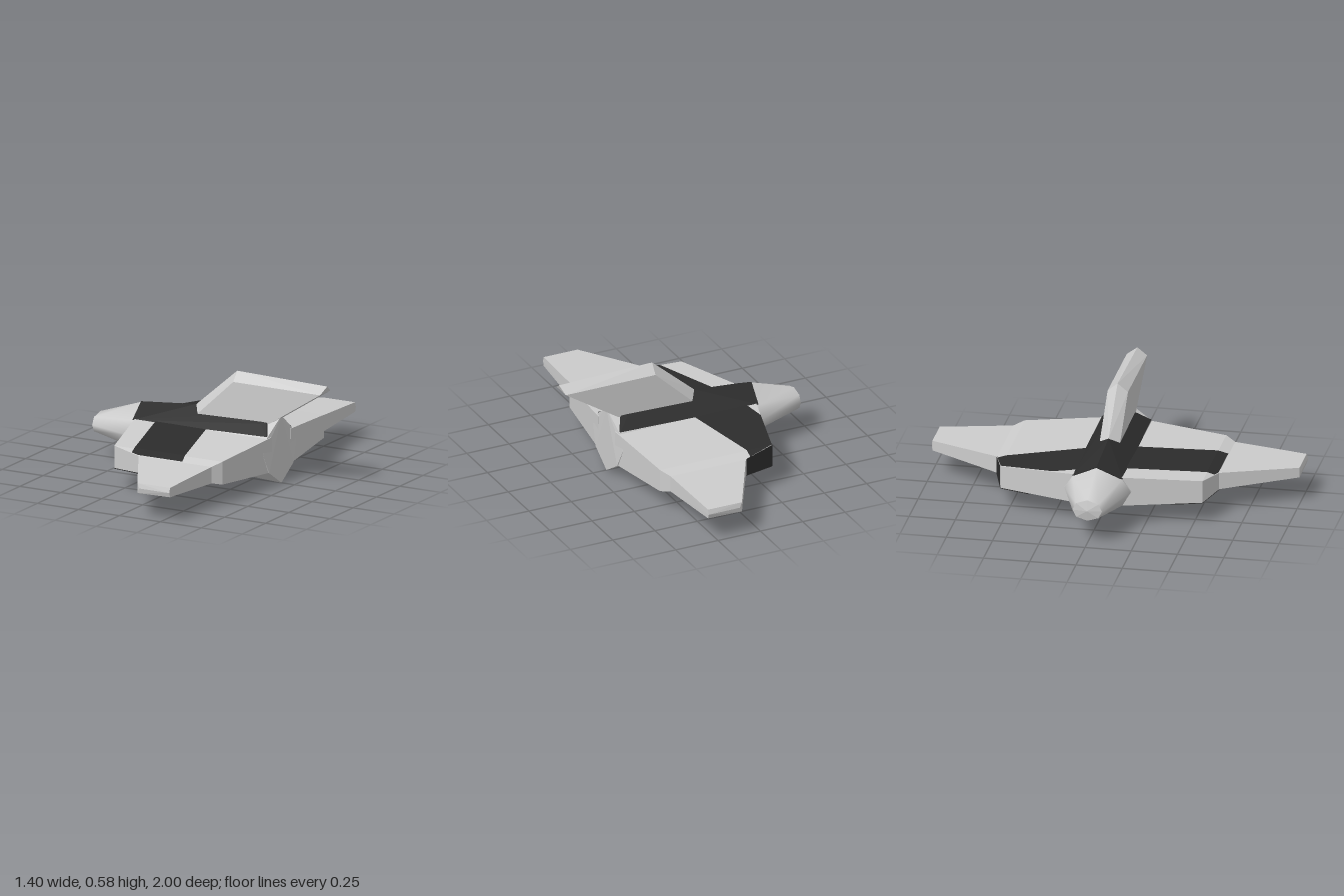
import * as THREE from 'three';
import { ConvexGeometry } from 'three/addons/geometries/ConvexGeometry.js';

const hullGrey = new THREE.MeshStandardMaterial({ color: 0xcccccc });
hullGrey.name = 'hullGrey';
const markingBlack = new THREE.MeshStandardMaterial({ color: 0x2c2c2c, side: THREE.DoubleSide });
markingBlack.name = 'markingBlack';

const v = ([x, y, z]) => new THREE.Vector3(x, y, z);

// Closed faceted solid around its corner points
function solid(name, points, material = hullGrey) {
  const mesh = new THREE.Mesh(new ConvexGeometry(points.map(v)), material);
  mesh.name = name;
  return mesh;
}

// Flat painted face from a convex outline
function plate(name, points) {
  const tris = [];
  for (let i = 1; i < points.length - 1; i++) tris.push(v(points[0]), v(points[i]), v(points[i + 1]));
  // corner order is chosen so that normals match the facing side
  const geo = new THREE.BufferGeometry().setFromPoints(tris);
  geo.computeVertexNormals();
  const mesh = new THREE.Mesh(geo, markingBlack);
  mesh.name = name;
  return mesh;
}

// Eight-sided ring from a half section [x, y, z], top to keel
const ring = (half) => [...half, ...half.slice(1, -1).reverse().map(([x, y, z]) => [x, y, -z])];

const frontRing = ring([[-0.435, 0.33, 0], [-0.41, 0.262, 0.135], [-0.4, 0.19, 0.18], [-0.41, 0.115, 0.135], [-0.42, 0.045, 0]]);
const rearRing = ring([[0.42, 0.37, 0], [0.408, 0.277, 0.13], [0.41, 0.19, 0.18], [0.42, 0.083, 0.13], [0.42, 0, 0]]);
const tipRing = ring([[-0.687, 0.245, 0], [-0.69, 0.226, 0.06], [-0.69, 0.187, 0.08], [-0.69, 0.148, 0.06], [-0.687, 0.128, 0]]);

// Smooth tapered nose with a faceted blunt tip
function nose() {
  const group = new THREE.Group();
  group.name = 'nose';
  const n = 8;
  const index = [];
  for (let i = 0; i < n; i++) {
    const j = (i + 1) % n;
    index.push(i, j, n + i, j, n + j, n + i);
  }
  const geo = new THREE.BufferGeometry().setFromPoints([...tipRing, ...frontRing].map(v));
  geo.setIndex(index);
  geo.computeVertexNormals();
  const cone = new THREE.Mesh(geo, hullGrey);
  cone.name = 'noseCone';

  const cap = [];
  for (let i = 0; i < n; i++) cap.push(v([-0.7, 0.187, 0]), v(tipRing[(i + 1) % n]), v(tipRing[i]));
  const capGeo = new THREE.BufferGeometry().setFromPoints(cap);
  capGeo.computeVertexNormals();
  const tip = new THREE.Mesh(capGeo, hullGrey);
  tip.name = 'noseTip';
  group.add(cone, tip);
  return group;
}

// Wing stations: distance out, leading x, trailing x, upper y, lower y front, lower y rear
const stations = [
  [0.1, -0.41, 0.418, 0.273, 0.11, 0.082],
  [0.545, -0.29, 0.37, 0.238, 0.115, 0.112],
  [0.6, -0.11, 0.335, 0.218, 0.125, 0.128],
  [0.992, 0.105, 0.305, 0.192, 0.137, 0.14],
];

function wing(name, side) {
  const group = new THREE.Group();
  group.name = name;
  const corners = ([z, xf, xr, top, bf, br]) => [[xf, top, z * side], [xr, top, z * side], [xf, bf, z * side], [xr, br, z * side]];
  ['innerPanel', 'shoulderBevel', 'outerPanel'].forEach((part, i) => {
    const points = [...corners(stations[i]), ...corners(stations[i + 1])];
    // slightly rounded end of the wing
    if (i === 2) points.push([0.12, 0.165, side * 0.998], [0.305, 0.165, side]);
    group.add(solid(part, points));
  });
  // Dark corner beneath the leading edge
  const under = [[-0.29, 0.111, side * 0.545], [-0.335, 0.108, side * 0.38], [-0.11, 0.12, side * 0.6]];
  group.add(plate('undersideMarking', side > 0 ? under : under.reverse()));
  return group;
}

// Height of painted faces just above the wing surface
function paintY(z) {
  const a = Math.abs(z);
  const i = a <= 0.545 ? 0 : 1;
  const [p, q] = [stations[i], stations[i + 1]];
  return THREE.MathUtils.mapLinear(a, p[0], q[0], p[3], q[3]) + 0.004;
}
const topPaint = (name, outline) => {
  const pts = outline.map(([x, z]) => new THREE.Vector2(x, z));
  const ordered = THREE.ShapeUtils.isClockWise(pts) ? outline : [...outline].reverse();
  return plate(name, ordered.map(([x, z]) => [x, paintY(z), z]));
};

// One slanted band running across both wings
function stripe() {
  const group = new THREE.Group();
  group.name = 'wingStripe';
  group.add(
    topPaint('leftStripe', [[-0.275, 0.13], [0.035, 0.13], [0.142, 0.545], [-0.168, 0.545]]),
    topPaint('leftStripeEnd', [[-0.168, 0.545], [0.142, 0.545], [0.155, 0.598], [-0.115, 0.598], [-0.16, 0.585]]),
    topPaint('rightStripe', [[-0.345, -0.13], [-0.035, -0.13], [-0.142, -0.545], [-0.29, -0.545], [-0.369, -0.25]]),
    topPaint('rightStripeEnd', [[-0.29, -0.545], [-0.142, -0.545], [-0.14, -0.593], [-0.112, -0.6]]),
    plate('rightStripeSide', [[-0.291, 0.242, -0.549], [-0.111, 0.222, -0.604], [-0.111, 0.125, -0.604], [-0.291, 0.115, -0.549]]),
  );
  return group;
}

// Swept fin with a ridged upper and leading edge
function fin() {
  const points = [[-0.1, 0.362, 0], [0.15, 0.58, 0], [0.7, 0.567, 0]];
  for (const z of [-0.055, 0.055]) {
    points.push([-0.08, 0.31, z], [0.157, 0.532, z], [0.687, 0.53, z], [0.345, 0.31, z]);
  }
  return solid('tailFin', points);
}

export function createModel() {
  const model = new THREE.Group();
  model.name = 'spacecraft';
  model.add(nose());
  model.add(solid('fuselage', [...frontRing, ...rearRing, [-0.1, 0.358, 0]]));

  // Dark spine, cut back diagonally towards the tail
  const spine = [[-0.437, 0.333, 0], [-0.1, 0.363, 0], [0.33, 0.373, 0]];
  for (const s of [-1, 1]) {
    spine.push([-0.412, 0.266, s * 0.137], [0.405, 0.281, s * 0.134], [0.33, 0.328, s * 0.068]);
  }
  model.add(solid('spine', spine, markingBlack));

  model.add(wing('leftWing', 1), wing('rightWing', -1), stripe(), fin());
  return model;
}
